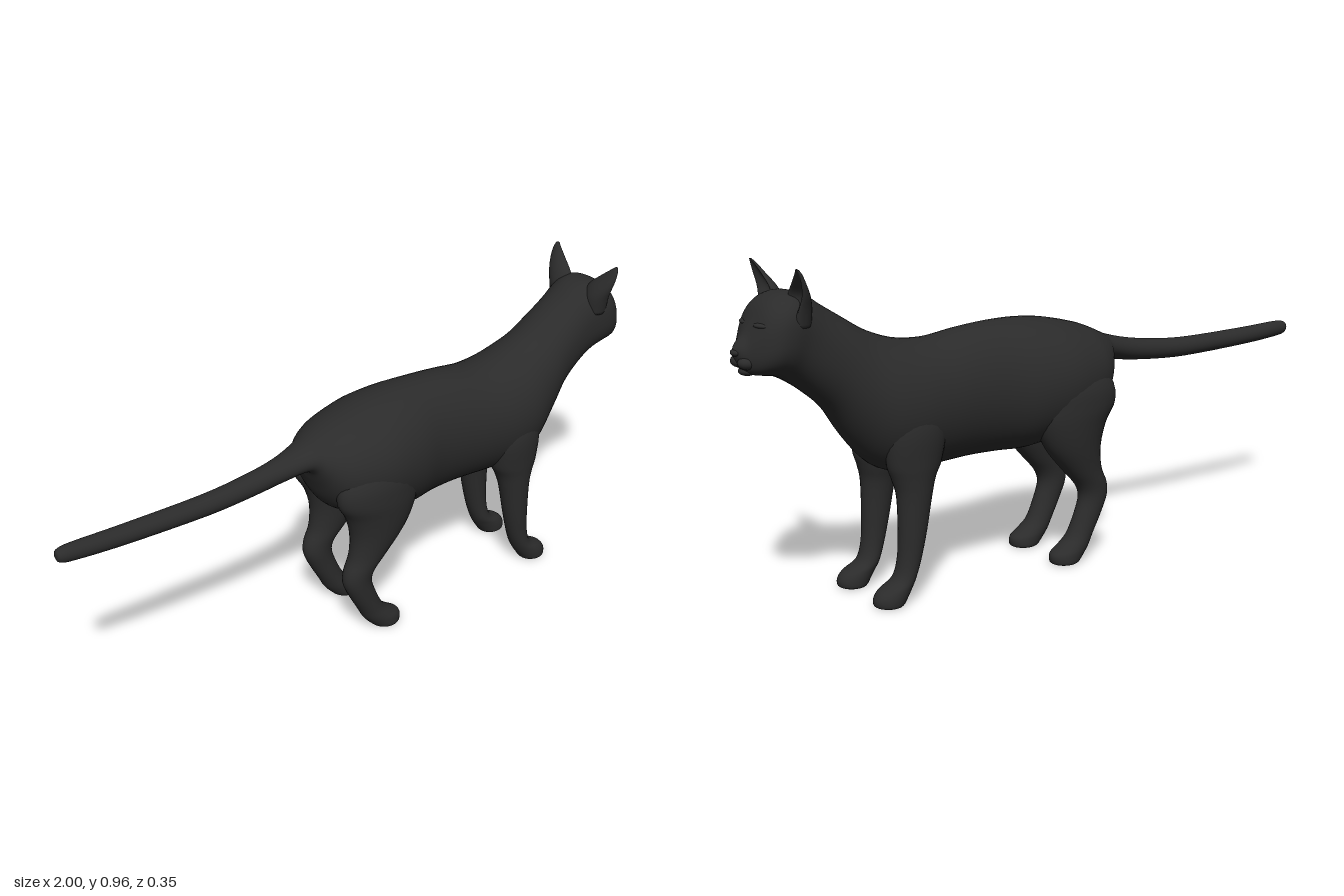
import * as THREE from 'three';

// Catmull-Rom blend of whole rows of section parameters
function blendRows(rows, steps) {
  const out = [];
  const at = (i) => rows[Math.max(0, Math.min(rows.length - 1, i))];
  for (let i = 0; i < rows.length - 1; i++) {
    for (let s = 0; s < steps; s++) {
      const t = s / steps;
      out.push(rows[i].map((b, k) => {
        const a = at(i - 1)[k], c = at(i + 1)[k], d = at(i + 2)[k];
        return b + 0.5 * t * (c - a + t * (2 * a - 5 * b + 4 * c - d + t * (3 * (b - c) + d - a)));
      }));
    }
  }
  out.push(rows[rows.length - 1]);
  return out;
}

// Loft of rounded sections. Row: [x1, y1, x2, y2, zCentre, halfWidth, roundness, dent]
// (x1,y1) and (x2,y2) are the ends of the section in the side plane.
function loft(rows, sides = 36, steps = 4) {
  const rings = blendRows(rows, steps), pos = [], index = [];
  const power = (v, p) => Math.sign(v) * Math.pow(Math.abs(v), p);
  for (const [x1, y1, x2, y2, zc, w, p, dent] of rings) {
    for (let j = 0; j < sides; j++) {
      const th = (j / sides) * Math.PI * 2;
      let c = power(Math.cos(th), p);
      const s = power(Math.sin(th), p);
      if (c > 0) c -= dent * c * c * c;
      pos.push((x1 + x2) / 2 + c * (x1 - x2) / 2, (y1 + y2) / 2 + c * (y1 - y2) / 2, zc + s * w);
    }
  }
  for (let i = 0; i < rings.length - 1; i++) {
    for (let j = 0; j < sides; j++) {
      const k = (j + 1) % sides, a = i * sides, b = a + sides;
      index.push(a + j, a + k, b + j, a + k, b + k, b + j);
    }
  }
  // end caps
  [0, rings.length - 1].forEach((i, end) => {
    const [x1, y1, x2, y2, zc] = rings[i], centre = pos.length / 3;
    pos.push((x1 + x2) / 2, (y1 + y2) / 2, zc);
    for (let j = 0; j < sides; j++) {
      const a = i * sides + j, b = i * sides + (j + 1) % sides;
      if (end) index.push(centre, a, b);
      else index.push(centre, b, a);
    }
  });
  const g = new THREE.BufferGeometry();
  g.setAttribute('position', new THREE.Float32BufferAttribute(pos, 3));
  g.setIndex(index);
  g.computeVertexNormals();
  return g;
}

export function createModel() {
  const group = new THREE.Group();
  const fur = new THREE.MeshStandardMaterial({ color: 0x2b2b2b });
  fur.name = 'charcoalFur';

  const add = (name, geometry) => {
    const mesh = new THREE.Mesh(geometry, fur);
    mesh.name = name;
    group.add(mesh);
    return mesh;
  };
  const blob = (name, x, y, z, rx, ry, rz) => {
    const mesh = add(name, new THREE.SphereGeometry(1, 20, 14));
    mesh.position.set(x, y, z);
    mesh.scale.set(rx, ry, rz);
    return mesh;
  };

  // Tail: [topX, topY, bottomX, bottomY, halfWidth, roundness]
  const tail = [
    [-1, 0.597, -1, 0.585, 0.006, 1], [-0.992, 0.608, -0.992, 0.57, 0.017, 1],
    [-0.95, 0.612, -0.95, 0.562, 0.024, 1], [-0.8, 0.607, -0.8, 0.552, 0.029, 1],
    [-0.55, 0.605, -0.55, 0.545, 0.032, 1], [-0.4, 0.617, -0.4, 0.552, 0.034, 1],
    [-0.3, 0.633, -0.3, 0.563, 0.04, 1], [-0.22, 0.654, -0.22, 0.572, 0.06, 1],
  ];
  // Torso, rump to neck
  const torso = [
    [-0.19, 0.667, -0.198, 0.53, 0.088, 1], [-0.15, 0.685, -0.175, 0.47, 0.122, 1],
    [-0.1, 0.703, -0.13, 0.42, 0.15, 1], [0, 0.727, -0.02, 0.375, 0.173, 1],
    [0.1, 0.738, 0.1, 0.352, 0.165, 1], [0.2, 0.738, 0.2, 0.355, 0.143, 1],
    [0.3, 0.73, 0.3, 0.357, 0.138, 1], [0.4, 0.716, 0.42, 0.352, 0.145, 1],
    [0.48, 0.718, 0.52, 0.35, 0.153, 1], [0.55, 0.733, 0.6, 0.378, 0.148, 1],
    [0.62, 0.762, 0.675, 0.46, 0.125, 1], [0.69, 0.805, 0.735, 0.55, 0.108, 0.95],
    [0.75, 0.843, 0.8, 0.61, 0.101, 0.9],
  ];
  // Skull, tapering into the muzzle
  const head = [
    [0.79, 0.87, 0.85, 0.645, 0.102, 0.85], [0.84, 0.887, 0.89, 0.666, 0.111, 0.8],
    [0.885, 0.88, 0.92, 0.672, 0.108, 0.8], [0.92, 0.855, 0.945, 0.676, 0.09, 0.82],
    [0.945, 0.815, 0.963, 0.683, 0.063, 0.9], [0.963, 0.785, 0.973, 0.692, 0.041, 1],
    [0.983, 0.762, 0.98, 0.705, 0.026, 1], [0.993, 0.748, 0.985, 0.72, 0.011, 1],
  ];
  add('body', loft([...tail, ...torso, ...head].map(([a, b, c, d, w, p]) => [a, b, c, d, 0, w, p, 0]), 48));

  // Limbs and ears, top to bottom: [y, backX, frontX, innerZ, outerZ]
  const hindLeg = [
    [0.66, -0.06, 0.04, 0.08, 0.115], [0.55, -0.155, 0.1, 0.05, 0.168],
    [0.48, -0.17, 0.11, 0.04, 0.177], [0.42, -0.138, 0.1, 0.035, 0.173],
    [0.35, -0.12, 0.065, 0.042, 0.163], [0.28, -0.125, 0.005, 0.054, 0.15],
    [0.23, -0.146, -0.04, 0.062, 0.143], [0.19, -0.148, -0.054, 0.064, 0.14],
    [0.14, -0.127, -0.04, 0.065, 0.139], [0.08, -0.095, -0.012, 0.063, 0.139],
    [0.05, -0.08, 0.022, 0.06, 0.143], [0.03, -0.066, 0.05, 0.058, 0.146],
    [0.007, -0.045, 0.051, 0.059, 0.146], [0, -0.036, 0.044, 0.065, 0.14],
  ];
  const foreLeg = [
    [0.62, 0.48, 0.56, 0.08, 0.115], [0.5, 0.425, 0.6, 0.05, 0.153],
    [0.4, 0.432, 0.6, 0.035, 0.151], [0.35, 0.455, 0.585, 0.04, 0.147],
    [0.3, 0.47, 0.573, 0.052, 0.144], [0.2, 0.49, 0.572, 0.06, 0.139],
    [0.12, 0.51, 0.577, 0.063, 0.135], [0.07, 0.528, 0.594, 0.06, 0.136],
    [0.045, 0.54, 0.638, 0.058, 0.141], [0.025, 0.553, 0.655, 0.057, 0.144],
    [0.006, 0.566, 0.655, 0.058, 0.143], [0, 0.572, 0.646, 0.064, 0.137],
  ];
  const ear = [
    [0.956, 0.868, 0.873, 0.124, 0.134, 0], [0.945, 0.858, 0.872, 0.111, 0.139, 0.7],
    [0.92, 0.843, 0.871, 0.082, 0.14, 1.2], [0.885, 0.822, 0.874, 0.046, 0.132, 1.4],
    [0.85, 0.81, 0.882, 0.038, 0.12, 1], [0.8, 0.81, 0.88, 0.04, 0.108, 0],
  ];
  const parts = { hindLeg, foreLeg, ear };
  for (const side of [1, -1]) {
    const suffix = side > 0 ? 'PlusZ' : 'MinusZ';
    for (const [name, rows] of Object.entries(parts)) {
      add(name + suffix, loft(rows.map(([y, back, front, zi, zo, dent = 0]) =>
        [front, y, back, y, side * (zi + zo) / 2, (zo - zi) / 2, 1, dent]), 28));
    }
    // Eyelids, brow and whisker pads
    blob('eye' + suffix, 0.93, 0.784, side * 0.05, 0.017, 0.01, 0.026).rotation.y = side * -0.5;
    blob('brow' + suffix, 0.925, 0.808, side * 0.05, 0.021, 0.009, 0.034).rotation.y = side * -0.5;
    blob('whiskerPad' + suffix, 0.962, 0.712, side * 0.021, 0.028, 0.019, 0.025);
  }
  blob('nose', 0.985, 0.738, 0, 0.014, 0.01, 0.018);
  blob('chin', 0.954, 0.687, 0, 0.025, 0.013, 0.025);

  return group;
}
